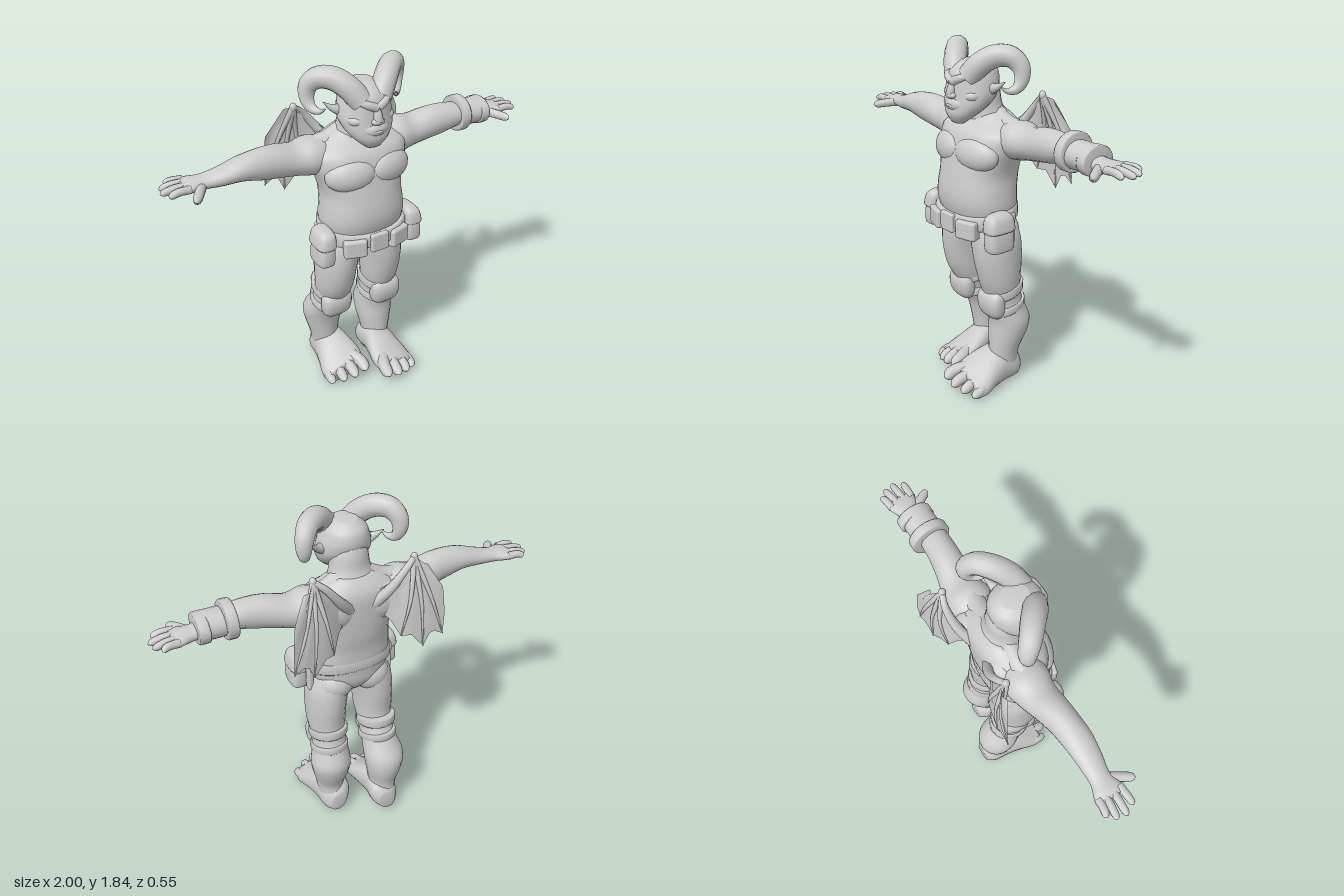
import * as THREE from 'three';
import { RoundedBoxGeometry } from 'three/addons/geometries/RoundedBoxGeometry.js';

const clay = new THREE.MeshStandardMaterial({ color: 0xcccccc, side: THREE.DoubleSide });
clay.name = 'clay grey';

function add(parent, name, geometry, x = 0, y = 0, z = 0) {
  const mesh = new THREE.Mesh(geometry, clay);
  mesh.name = name;
  mesh.position.set(x, y, z);
  parent.add(mesh);
  return mesh;
}

// Catmull-Rom blend of one column of the section rows
function blend(rows, k, i, t) {
  const at = (j) => rows[Math.min(Math.max(j, 0), rows.length - 1)][k];
  const [a, b, c, d] = [at(i - 1), at(i), at(i + 1), at(i + 2)];
  return b + 0.5 * t * (c - a + t * (2 * a - 5 * b + 4 * c - d + t * (3 * (b - c) + d - a)));
}

// Skin over elliptical sections [along, centreA, centreB, radiusA, radiusB];
// A and B are y,z for axis x, x,z for axis y, and x,y for axis z.
function loft(axis, rows, { seg = 20, steps = 4, power = 1, warp = null } = {}) {
  const rings = [];
  for (let i = 0; i < rows.length - 1; i++)
    for (let s = 0; s < steps; s++) rings.push([0, 1, 2, 3, 4].map((k) => blend(rows, k, i, s / steps)));
  rings.push(rows[rows.length - 1]);
  const cap = (r) => [r[0], r[1], r[2], 0, 0];
  rings.unshift(cap(rings[0]));
  rings.push(cap(rings[rings.length - 1]));
  const round = (v) => Math.sign(v) * Math.abs(v) ** power;
  const pos = [], idx = [];
  for (const [t, a, b, ra, rb] of rings)
    for (let j = 0; j < seg; j++) {
      const th = (j / seg) * Math.PI * 2;
      const u = a + ra * round(Math.cos(th)), w = b + rb * round(Math.sin(th));
      const p = axis === 'x' ? [t, u, w] : axis === 'y' ? [u, t, w] : [u, w, t];
      pos.push(...(warp ? warp(...p) : p));
    }
  const flip = (rows[rows.length - 1][0] < rows[0][0]) !== (axis === 'y');
  for (let i = 0; i < rings.length - 1; i++)
    for (let j = 0; j < seg; j++) {
      const a = i * seg + j, b = i * seg + (j + 1) % seg, c = b + seg, d = a + seg;
      idx.push(...(flip ? [a, c, b, a, d, c] : [a, b, c, a, c, d]));
    }
  const g = new THREE.BufferGeometry();
  g.setAttribute('position', new THREE.Float32BufferAttribute(pos, 3));
  g.setIndex(idx);
  g.computeVertexNormals();
  return g;
}

// Tube along points whose radius follows a rule
function taper(points, radius, segs = 16, sides = 10) {
  const curve = new THREE.CatmullRomCurve3(points.map((p) => new THREE.Vector3(...p)));
  const g = new THREE.TubeGeometry(curve, segs, 1, sides);
  const p = g.attributes.position, v = new THREE.Vector3();
  for (let i = 0; i < p.count; i++) {
    const u = Math.floor(i / (sides + 1)) / segs, c = curve.getPointAt(u);
    v.fromBufferAttribute(p, i).sub(c).multiplyScalar(radius(u)).add(c);
    p.setXYZ(i, v.x, v.y, v.z);
  }
  return g;
}
const finger = (r) => (u) => r * Math.sqrt(Math.max(0, 1 - Math.max(0, (u - 0.75) / 0.25) ** 2)) * (1 - 0.15 * u);
const blob = (rx, ry, rz) => new THREE.SphereGeometry(1, 18, 12).scale(rx, ry, rz);
const band = (axis, t0, t1, a, b, ra, rb, opt = {}) => loft(axis, [
  [t0, a, b, ra * 0.94, rb * 0.94], [t0 + (t1 - t0) * 0.15, a, b, ra, rb],
  [t0 + (t1 - t0) * 0.85, a, b, ra, rb], [t1, a, b, ra * 0.94, rb * 0.94]], { steps: 1, ...opt });

function buildHead(g) {
  add(g, 'neck', loft('y', [[1.4, 0, -0.045, 0.17, 0.12], [1.47, 0, -0.04, 0.13, 0.11],
    [1.54, 0, -0.02, 0.104, 0.09], [1.62, 0, -0.008, 0.092, 0.09], [1.69, 0, 0.01, 0.07, 0.08]]));
  add(g, 'skull', loft('y', [[1.465, 0, 0.135, 0.04, 0.025], [1.505, 0, 0.115, 0.085, 0.07],
    [1.55, 0, 0.085, 0.122, 0.1], [1.6, 0, 0.058, 0.138, 0.12], [1.65, 0, 0.045, 0.132, 0.13],
    [1.69, 0, 0.042, 0.12, 0.13], [1.73, 0, 0.038, 0.1, 0.113], [1.765, 0, 0.035, 0.055, 0.065]]));
  add(g, 'muzzle', blob(0.085, 0.05, 0.075), 0, 1.56, 0.12);
  add(g, 'nose', taper([[0, 1.67, 0.155], [0, 1.635, 0.175], [0, 1.605, 0.18]], (u) => 0.016 + 0.01 * u));
  add(g, 'noseTip', blob(0.036, 0.018, 0.02), 0, 1.605, 0.18);
  add(g, 'mouth', taper([[-0.07, 1.54, 0.15], [0, 1.557, 0.193], [0.07, 1.54, 0.15]], () => 0.007));
  for (const s of [1, -1]) {
    add(g, 'brow', taper([[0, 1.668, 0.168], [s * 0.05, 1.69, 0.157], [s * 0.115, 1.72, 0.085]], (u) => 0.023 - 0.01 * u));
    add(g, 'cheek', blob(0.05, 0.032, 0.05), s * 0.075, 1.605, 0.105);
    add(g, 'ear', taper([[s * 0.1, 1.63, 0.03], [s * 0.15, 1.645, 0.015], [s * 0.19, 1.675, -0.005]],
      (u) => 0.036 * (1 - u) + 0.001));
    // Ram horn sweeping out and back, then curling down and forward
    add(g, 'horn', taper([[s * 0.05, 1.69, 0.11], [s * 0.1, 1.757, 0.075], [s * 0.155, 1.796, 0.025],
      [s * 0.208, 1.793, -0.022], [s * 0.24, 1.75, -0.055], [s * 0.246, 1.69, -0.058], [s * 0.235, 1.645, -0.035],
      [s * 0.212, 1.635, 0.002], [s * 0.195, 1.655, 0.03]], (u) => 0.056 * (1 - u ** 3) + 0.002, 40, 14));
  }
}

function buildTorso(g) {
  add(g, 'torso', loft('y', [[0.84, 0, -0.01, 0.09, 0.09], [0.9, 0, 0, 0.19, 0.14], [0.97, 0, 0.01, 0.212, 0.16],
    [1.05, 0, 0.02, 0.225, 0.175], [1.12, 0, 0.02, 0.22, 0.178], [1.2, 0, 0.008, 0.213, 0.178],
    [1.27, 0, -0.002, 0.228, 0.173], [1.35, 0, -0.012, 0.255, 0.165], [1.42, 0, -0.025, 0.255, 0.15],
    [1.47, 0, -0.045, 0.19, 0.115], [1.52, 0, -0.04, 0.1, 0.08]], { seg: 32, power: 0.88 }));
  for (const s of [1, -1]) {
    add(g, 'chestMuscle', blob(0.13, 0.085, 0.065), s * 0.108, 1.32, 0.105).rotation.set(-0.2, s * 0.25, 0);
    add(g, 'shoulderBlade', blob(0.11, 0.1, 0.06), s * 0.12, 1.37, -0.125);
    add(g, 'trapezius', taper([[s * 0.06, 1.5, -0.045], [s * 0.15, 1.45, -0.05], [s * 0.27, 1.425, -0.055]],
      (u) => 0.05 + 0.01 * u));
    add(g, 'buttock', blob(0.1, 0.09, 0.085), s * 0.1, 0.89, -0.065);
  }
}

function buildBelt(g) {
  const tilt = (x, y, z) => [x, y - z * 0.16, z];
  add(g, 'belt', band('y', 0.96, 1.035, 0, 0.025, 0.238, 0.182, { seg: 32, power: 0.88, warp: tilt }));
  add(g, 'buckle', new RoundedBoxGeometry(0.1, 0.1, 0.03, 2, 0.01), 0, 0.96, 0.207);
  for (const s of [1, -1]) {
    const front = add(g, 'frontPouch', new RoundedBoxGeometry(0.12, 0.1, 0.06, 2, 0.015), s * 0.125, 0.945, 0.178);
    front.rotation.y = s * 0.3;
    // Soft side pouch, fuller at the bottom, under a rounded flap
    add(g, 'sidePouch', loft('y', [[0.85, 0.258, 0.08, 0.035, 0.06], [0.865, 0.258, 0.08, 0.046, 0.075],
      [0.93, 0.255, 0.08, 0.046, 0.078], [1.0, 0.248, 0.078, 0.04, 0.07]].map(([y, x, ...r]) => [y, s * x, ...r]),
      { power: 0.6 }));
    add(g, 'pouchFlap', loft('y', [[0.955, 0.255, 0.08, 0.05, 0.08], [0.97, 0.255, 0.08, 0.052, 0.083],
      [1.02, 0.25, 0.078, 0.044, 0.075], [1.045, 0.245, 0.075, 0.025, 0.05]].map(([y, x, ...r]) => [y, s * x, ...r]),
      { power: 0.6 }));
    add(g, 'hipStrap', new RoundedBoxGeometry(0.03, 0.16, 0.045, 2, 0.01), s * 0.225, 0.94, -0.02);
  }
}

function buildArm(g, s) {
  add(g, 'arm', loft('x', [[0.12, 1.385, -0.05, 0.075, 0.09], [0.24, 1.395, -0.055, 0.098, 0.112],
    [0.33, 1.395, -0.055, 0.082, 0.095], [0.43, 1.415, -0.042, 0.084, 0.082], [0.52, 1.425, -0.033, 0.078, 0.074],
    [0.62, 1.43, -0.03, 0.058, 0.07], [0.72, 1.415, -0.035, 0.042, 0.06], [0.8, 1.407, -0.045, 0.033, 0.052],
    [0.86, 1.407, -0.05, 0.028, 0.07], [0.9, 1.405, -0.05, 0.02, 0.075]].map(([x, ...r]) => [s * x, ...r])));
  [[-0.105, -0.122, 0.955], [-0.07, -0.085, 0.99], [-0.032, -0.038, 1], [0.006, 0.012, 0.975]].forEach(([z0, z1, x]) =>
    add(g, 'finger', taper([[s * 0.87, 1.41, z0], [s * 0.93, 1.412, (z0 + z1) / 2], [s * x, 1.398, z1]], finger(0.02))));
  add(g, 'thumb', taper([[s * 0.81, 1.4, -0.02], [s * 0.845, 1.395, 0.04], [s * 0.88, 1.385, 0.095]], finger(0.025)));
}

function buildBracer(g) {
  add(g, 'bracerSleeve', band('x', 0.64, 0.78, 1.422, -0.036, 0.068, 0.082));
  add(g, 'bracerUpperBand', band('x', 0.6, 0.655, 1.427, -0.04, 0.095, 0.103));
  add(g, 'bracerLowerBand', band('x', 0.73, 0.785, 1.418, -0.04, 0.072, 0.092));
}

function buildLeg(g, s) {
  // The right lower leg stands further back
  const back = (y) => (s > 0 ? 0 : -0.11 * THREE.MathUtils.smoothstep(0.66 - y, 0, 0.48));
  add(g, 'leg', loft('y', [[0.06, 0.13, -0.06, 0.07, 0.08], [0.14, 0.135, -0.055, 0.075, 0.085],
    [0.2, 0.138, -0.055, 0.08, 0.085], [0.3, 0.142, -0.077, 0.102, 0.104], [0.38, 0.145, -0.087, 0.11, 0.112],
    [0.46, 0.14, -0.065, 0.097, 0.108], [0.54, 0.137, -0.04, 0.092, 0.104], [0.63, 0.14, -0.02, 0.102, 0.117],
    [0.75, 0.137, -0.01, 0.108, 0.137], [0.86, 0.125, -0.005, 0.112, 0.14], [0.94, 0.11, 0, 0.09, 0.13]]
    .map(([y, x, z, a, b]) => [y, s * x, z + back(y), a, b])));
  // Knee guard: two tilted straps and a padded plate
  const tilt = (x, y, z) => [x, y - (z + 0.04) * 0.22, z];
  const kz = back(0.5);
  add(g, 'kneeUpperStrap', band('y', 0.54, 0.595, s * 0.138, -0.04 + kz, 0.104, 0.118, { warp: tilt }));
  add(g, 'kneeLowerStrap', band('y', 0.445, 0.49, s * 0.14, -0.055 + kz, 0.102, 0.114, { warp: tilt }));
  add(g, 'kneePad', loft('y', [[0.425, 0, 0, 0.055, 0.03], [0.455, 0, 0.008, 0.08, 0.045], [0.51, 0, 0.015, 0.087, 0.05],
    [0.555, 0, 0.012, 0.082, 0.045], [0.58, 0, 0.005, 0.06, 0.03]], { power: 0.75 }), s * 0.145, 0, 0.025 + kz);

  // Foot with a flat sole, rolled slightly outward
  const foot = new THREE.Group();
  foot.name = 'foot';
  foot.position.z = back(0);
  g.add(foot);
  const roll = (y, x) => Math.max(y, 0) + Math.max(0, 0.25 - Math.abs(x)) * 0.24;
  add(foot, 'footBody', loft('z', [[-0.155, 0.125, 0.055, 0.045, 0.055], [-0.11, 0.125, 0.075, 0.08, 0.085],
    [-0.02, 0.13, 0.09, 0.088, 0.1], [0.06, 0.13, 0.078, 0.105, 0.085], [0.14, 0.133, 0.055, 0.122, 0.062],
    [0.2, 0.135, 0.04, 0.115, 0.045]].map(([z, x, ...r]) => [z, s * x, ...r]),
    { power: 0.9, warp: (x, y, z) => [x, roll(y, x), z] }));
  [[0.045, 0.275, 0.038], [0.11, 0.278, 0.034], [0.172, 0.26, 0.032], [0.228, 0.23, 0.029]].forEach(([x, z, r]) =>
    add(foot, 'toe', taper([[s * (0.065 + x * 0.55), roll(0.07, x), 0.1], [s * x, roll(0.055, x), z - 0.06],
      [s * x, roll(0.028, x), z]], finger(r))));
}

function buildWing(g, s) {
  const wrist = [0.26, 1.6, -0.18];
  const edge = [[0.08, 1.44, -0.15], [0.09, 1.34, -0.16], [0.14, 1.28, -0.19], [0.18, 1.2, -0.23], [0.23, 1.2, -0.245],
    [0.295, 1.12, -0.255], [0.325, 1.19, -0.26], [0.35, 1.2, -0.262], [0.4, 1.17, -0.262], [0.4, 1.3, -0.265],
    [0.385, 1.44, -0.255], [0.32, 1.56, -0.21]];
  const mid = (e) => e.map((v, k) => (v + wrist[k]) / 2 - (k === 2 ? 0.03 : 0));
  const side = (p) => [s * p[0], p[1], p[2]];
  // Membrane: an inner and an outer ring fanned from the wing wrist
  const pos = [...side(wrist)], idx = [], n = edge.length;
  for (const e of edge) pos.push(...side(mid(e)), ...side(e));
  for (let i = 0; i < n - 1; i++) {
    const a = 1 + i * 2, b = a + 2;
    for (const t of [[0, a, b], [a, a + 1, b + 1], [a, b + 1, b]]) idx.push(...(s > 0 ? t : t.reverse()));
  }
  const skin = new THREE.BufferGeometry();
  skin.setAttribute('position', new THREE.Float32BufferAttribute(pos, 3));
  skin.setIndex(idx);
  skin.computeVertexNormals();
  add(g, 'wingMembrane', skin);
  for (const i of [3, 5, 8])
    add(g, 'wingFinger', taper([wrist, mid(edge[i]), edge[i]].map(side), (u) => 0.013 * (1 - u) + 0.003, 14, 8));
  add(g, 'wingArm', taper([[0.05, 1.36, -0.14], [0.13, 1.46, -0.19], [0.21, 1.56, -0.2], wrist].map(side),
    (u) => 0.032 - 0.018 * u, 14, 10));
  add(g, 'wingClaw', blob(0.018, 0.022, 0.018), s * wrist[0], wrist[1], wrist[2]);
}

export function createModel() {
  const model = new THREE.Group();
  model.name = 'hornedWingedCreature';
  const part = (name, build, ...args) => {
    const g = new THREE.Group();
    g.name = name;
    build(g, ...args);
    model.add(g);
  };
  part('head', buildHead);
  part('body', buildTorso);
  part('beltWithPouches', buildBelt);
  part('leftBracer', buildBracer);
  for (const [label, s] of [['left', 1], ['right', -1]]) {
    part(label + 'Arm', buildArm, s);
    part(label + 'Leg', buildLeg, s);
    part(label + 'Wing', buildWing, s);
  }
  return model;
}
